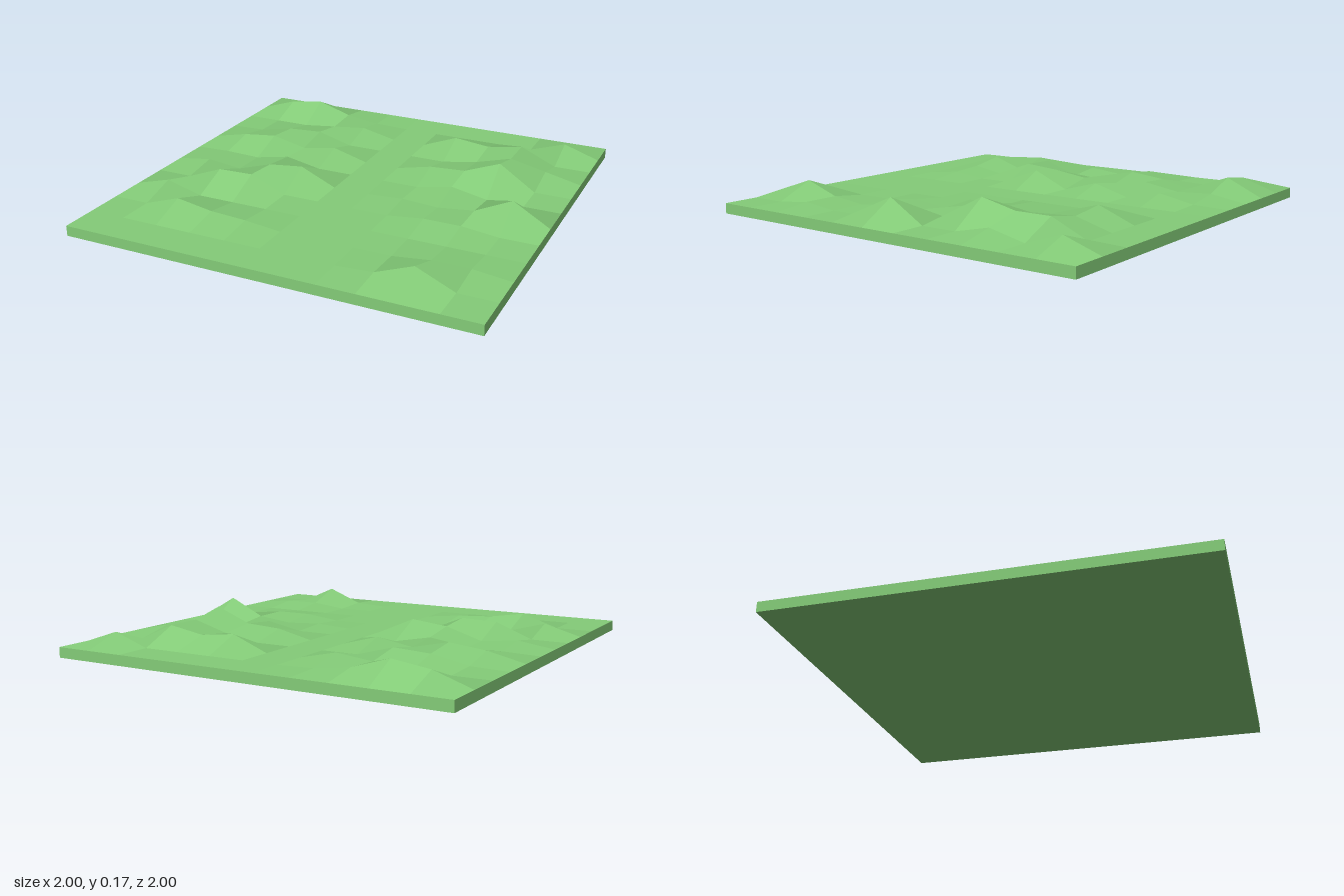
import * as THREE from 'three';

const CELLS = 11, BASE = 0.05;

// Hill heights above the base, in hundredths, for the inner grid points.
// Rows run back to front; four columns lie on each side of the flat path.
const WEST = [
  [6, 8.5, 3, 0.5], [0, 0, 2, 4], [0.5, 4, 5, 0], [4, 6, 2, 5], [0.5, 0, 3.5, 0],
  [2.5, 0.5, 6, 8], [0, 7, 7.5, 0], [5, 0, 0, 0], [0, 6, 3, 2], [0, 0, 0, 0],
];
const EAST = [
  [0, 0, 0, 6], [7, 5, 8, 0], [0, 3, 8, 4], [4, 5, 12, 0], [0, 3.5, 0, 0],
  [1, 0, 2, 10.5], [0, 2, 2, 0], [0, 0, 0, 0], [0, 0, 2, 2], [0, 1, 8, 0],
];

function height(col, row) {
  const hill = col < 6 ? WEST[row - 1]?.[col - 1] : EAST[row - 1]?.[col - 7];
  return BASE + (hill ?? 0) / 100;
}

// Collects four-cornered facets, each with one normal of its own
function facetGeometry(quads) {
  const position = [], normal = [];
  for (const [a, b, c, d] of quads) {
    const n = c.clone().sub(a).cross(d.clone().sub(b)).normalize();
    for (const p of [a, b, c, a, c, d]) {
      position.push(p.x, p.y, p.z);
      normal.push(n.x, n.y, n.z);
    }
  }
  const geometry = new THREE.BufferGeometry();
  geometry.setAttribute('position', new THREE.Float32BufferAttribute(position, 3));
  geometry.setAttribute('normal', new THREE.Float32BufferAttribute(normal, 3));
  return geometry;
}

export function createModel() {
  const group = new THREE.Group();
  group.name = 'grassTile';
  const grass = new THREE.MeshStandardMaterial({ color: 0x84cc78 });
  const add = (name, quads) => {
    const mesh = new THREE.Mesh(facetGeometry(quads), grass);
    mesh.name = name;
    group.add(mesh);
  };

  // Hilly top, one facet per grid cell
  const at = (i) => -1 + (2 * i) / CELLS;
  const point = (i, j) => new THREE.Vector3(at(i), height(i, j), at(j));
  const top = [];
  for (let j = 0; j < CELLS; j++) {
    for (let i = 0; i < CELLS; i++) {
      top.push([point(i, j), point(i, j + 1), point(i + 1, j + 1), point(i + 1, j)]);
    }
  }
  add('hills', top);

  // Straight side walls and underside of the slab
  const corners = [[-1, 1], [1, 1], [1, -1], [-1, -1]];
  const corner = (k, y) => new THREE.Vector3(corners[k % 4][0], y, corners[k % 4][1]);
  add('sideWalls', corners.map((_, k) =>
    [corner(k, 0), corner(k + 1, 0), corner(k + 1, BASE), corner(k, BASE)]));
  add('underside', [[corner(3, 0), corner(2, 0), corner(1, 0), corner(0, 0)]]);

  return group;
}
